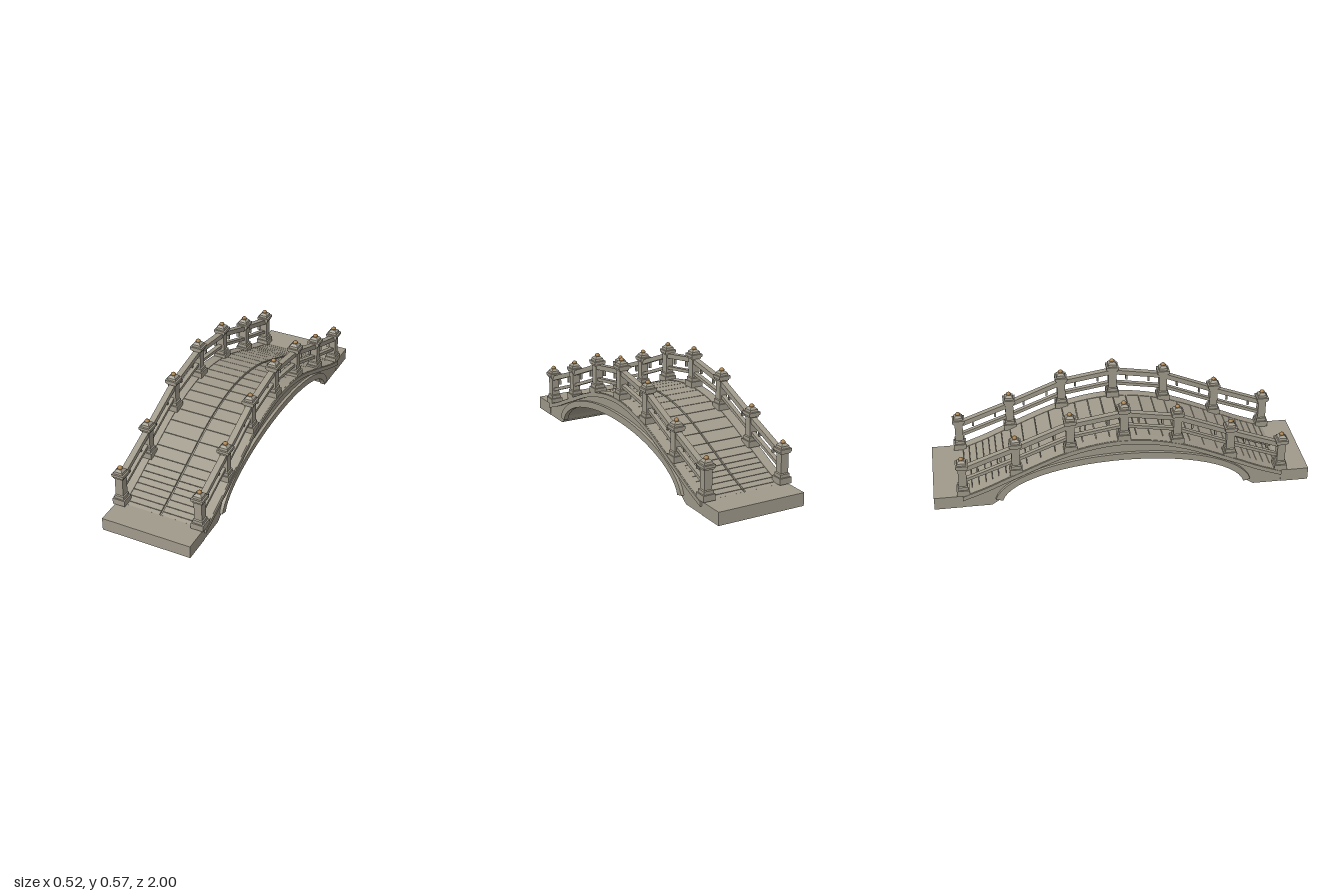
import * as THREE from 'three';

const stone = new THREE.MeshStandardMaterial({ color: 0xa09a8b });
stone.name = 'stone';
const bronze = new THREE.MeshStandardMaterial({ color: 0xa57f4c });
bronze.name = 'bronze';

// deck line along the bridge, as (z, height)
const HALF = [[0.28, 0.3], [0.565, 0.186], [0.72, 0.118], [0.85, 0.07]];
const deckCurve = new THREE.SplineCurve([
  ...HALF.slice().reverse().map(([z, y]) => new THREE.Vector2(-z, y)),
  new THREE.Vector2(0, 0.343),
  ...HALF.map(([z, y]) => new THREE.Vector2(z, y)),
]);

const POSTS = [[-0.845, 0.083], [-0.565, 0.188], [-0.28, 0.303], [0, 0.349],
  [0.28, 0.303], [0.565, 0.188], [0.845, 0.083]];
const RAIL_X = 0.22;

function add(parent, name, geometry, material = stone) {
  const mesh = new THREE.Mesh(geometry, material);
  mesh.name = name;
  parent.add(mesh);
  return mesh;
}

// outline in (z, y), extruded across the bridge from x0 to x1
function slice(points, x0, x1) {
  const g = new THREE.ExtrudeGeometry(new THREE.Shape(points), { depth: x1 - x0, bevelEnabled: false });
  return g.rotateY(-Math.PI / 2).translate(x1, 0, 0);
}

// deck line shifted vertically
function deckLine(dy) {
  return deckCurve.getPoints(48 / 8).map((p) => new THREE.Vector2(p.x, p.y + dy));
}

// half ellipse of the arch, from -z to +z
function archLine(a, b, start, n = 28) {
  return Array.from({ length: n + 1 }, (_, i) => {
    const t = Math.PI - start - (i / n) * (Math.PI - 2 * start);
    return new THREE.Vector2(a * Math.cos(t), 0.01 + b * Math.sin(t));
  });
}

function band(upper, lower, x0, x1) {
  return slice([...lower, ...upper.slice().reverse()], x0, x1);
}

// square beam between two (z, y) points
function beam(parent, name, x, a, b, width, height) {
  const dz = b[0] - a[0], dy = b[1] - a[1];
  const m = add(parent, name, new THREE.BoxGeometry(width, height, Math.hypot(dz, dy)));
  m.position.set(x, (a[1] + b[1]) / 2, (a[0] + b[0]) / 2);
  m.rotation.x = -Math.atan2(dy, dz);
  return m;
}

// square turned profile with flat faces
function squarePost(profile) {
  const pts = profile.map(([r, y]) => new THREE.Vector2(r * Math.SQRT2, y));
  const g = new THREE.LatheGeometry(pts, 4).rotateY(Math.PI / 4).toNonIndexed();
  g.computeVertexNormals();
  return g;
}

export function createModel() {
  const model = new THREE.Group();
  model.name = 'archBridge';

  // solid arch body with its feet
  const fine = deckCurve.getPoints(48);
  const lower = [new THREE.Vector2(-0.85, 0), new THREE.Vector2(-0.7, 0),
    ...archLine(0.66, 0.22, 0.08), new THREE.Vector2(0.7, 0), new THREE.Vector2(0.85, 0)];
  const shift = (dy) => fine.map((p) => new THREE.Vector2(p.x, p.y + dy));
  add(model, 'archBody', band(shift(-0.01), lower, -0.243, 0.243));

  // landing slabs
  for (const s of [-1, 1]) {
    add(model, 'landingSlab', new THREE.BoxGeometry(0.49, 0.07, 0.15)).position.set(0, 0.035, s * 0.925);
  }

  // paving: two rows of planks with a groove down the middle
  const paving = new THREE.Group();
  paving.name = 'paving';
  model.add(paving);
  const N = 32;
  for (let i = 0; i < N; i++) {
    const a = deckCurve.getPoint(i / N), b = deckCurve.getPoint((i + 1) / N);
    const g = b.clone().sub(a).normalize().multiplyScalar(0.0015);
    a.add(g); b.sub(g);
    for (const s of [-1, 1]) {
      beam(paving, 'plank', s * 0.1025, [a.x, a.y - 0.006], [b.x, b.y - 0.006], 0.195, 0.012);
    }
  }

  const postGeometry = squarePost([[0, -0.008], [0.034, -0.008], [0.034, 0.025], [0.027, 0.025],
    [0.027, 0.043], [0.0215, 0.047], [0.0215, 0.15], [0.028, 0.15], [0.028, 0.16], [0.033, 0.16],
    [0.033, 0.175], [0.025, 0.176], [0.023, 0.188], [0.012, 0.199], [0, 0.199]]);
  const finialGeometry = new THREE.LatheGeometry([[0.008, 0.197], [0.0135, 0.202], [0.013, 0.207],
    [0.008, 0.212], [0, 0.2165]].map(([r, y]) => new THREE.Vector2(r, y)), 12);

  for (const s of [-1, 1]) {
    const side = new THREE.Group();
    side.name = s > 0 ? 'leftSide' : 'rightSide';
    model.add(side);
    const span = (a, b) => (s > 0 ? [a, b] : [-b, -a]);

    // kerb and edge moulding following the deck
    add(side, 'kerb', band(shift(0.002), shift(-0.012), ...span(0.201, 0.25)));
    add(side, 'edgeMoulding', band(shift(0), shift(-0.024), ...span(0.235, 0.256)));

    // raised ring around the arch opening
    add(side, 'archRing', band(archLine(0.685, 0.256, 0.12), archLine(0.645, 0.218, 0.1), ...span(0.232, 0.259)));

    POSTS.forEach(([z, y], i) => {
      add(side, 'post', postGeometry).position.set(s * RAIL_X, y, z);
      add(side, 'finial', finialGeometry, bronze).position.set(s * RAIL_X, y, z);
      if (i === POSTS.length - 1) return;

      // rails and hanging pegs of one bay
      const [z2, y2] = POSTS[i + 1];
      beam(side, 'topRail', s * RAIL_X, [z, y + 0.14], [z2, y2 + 0.14], 0.032, 0.026);
      beam(side, 'lowerRail', s * RAIL_X, [z, y + 0.07], [z2, y2 + 0.07], 0.024, 0.017);
      for (const t of [0.28, 0.72]) {
        add(side, 'peg', new THREE.BoxGeometry(0.014, 0.036, 0.01)).position.set(
          s * RAIL_X, y + (y2 - y) * t + 0.113, z + (z2 - z) * t);
      }
    });
  }
  return model;
}
